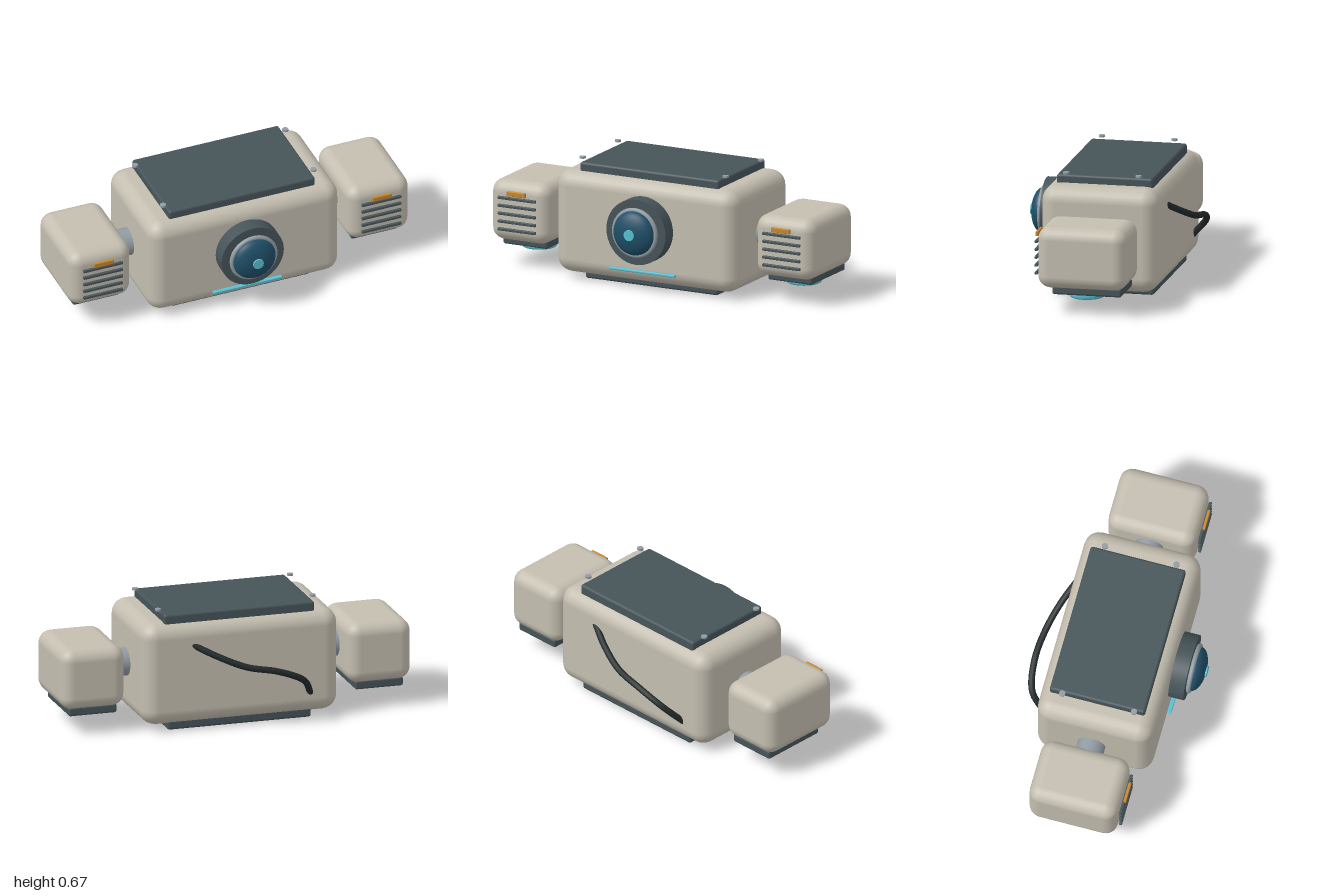
import * as THREE from 'three';
import { RoundedBoxGeometry } from 'three/addons/geometries/RoundedBoxGeometry.js';

const mat = (name, color) => {
  const m = new THREE.MeshStandardMaterial({ color });
  m.name = name;
  return m;
};

export function createModel() {
  const shell = mat('warm grey shell', 0xc4beb0);
  const dark = mat('slate trim', 0x465459);
  const metal = mat('brushed metal', 0x929ca4);
  const glass = mat('deep blue glass', 0x1f4f68);
  const cyan = mat('cyan glow', 0x58c0d2);
  const amber = mat('amber', 0xc8872c);
  const rubber = mat('black rubber', 0x232a2b);

  const model = new THREE.Group();
  model.name = 'cameraUnit';

  const add = (parent, name, geometry, material, x, y, z) => {
    const mesh = new THREE.Mesh(geometry, material);
    mesh.name = name;
    mesh.position.set(x, y, z);
    parent.add(mesh);
    return mesh;
  };
  const rbox = (w, h, d, r, s = 3) => new RoundedBoxGeometry(w, h, d, s, r);
  // cylinder whose axis lies along z
  const discZ = (r, h, n = 40) => new THREE.CylinderGeometry(r, r, h, n).rotateX(Math.PI / 2);

  // Main housing with roof and base plates
  add(model, 'body', rbox(1.12, 0.575, 0.652, 0.085), shell, 0, 0.323, -0.026);
  add(model, 'roofPlate', rbox(0.86, 0.075, 0.536, 0.014), dark, 0, 0.618, -0.034);
  add(model, 'basePlate', rbox(0.82, 0.06, 0.515, 0.014), dark, 0, 0.03, -0.047);

  // Roof bolts
  for (const x of [-0.442, 0.442])
    for (const z of [0.177, -0.227])
      add(model, 'roofBolt', new THREE.CylinderGeometry(0.017, 0.017, 0.011, 16), metal, x, 0.668, z);

  // Lens assembly
  const lens = new THREE.Group();
  lens.name = 'lens';
  lens.position.y = 0.347;
  model.add(lens);
  add(lens, 'lensBarrel', discZ(0.183, 0.105), dark, 0, 0, 0.333);
  add(lens, 'lensRing', new THREE.TorusGeometry(0.127, 0.013, 12, 48), metal, 0, 0, 0.398);
  add(lens, 'lensDome', new THREE.SphereGeometry(0.123, 40, 24).scale(1, 1, 0.46), glass, 0, 0, 0.409);
  add(lens, 'pupil', discZ(0.031, 0.01, 12), cyan, 0, 0.001, 0.467);

  // Status light below the lens
  add(model, 'statusStrip', rbox(0.405, 0.014, 0.024, 0.005, 2), cyan, 0, 0.107, 0.31);

  // Side pods, mirrored
  for (const s of [-1, 1]) {
    const pod = new THREE.Group();
    pod.name = s > 0 ? 'leftPod' : 'rightPod';
    pod.position.x = s * 0.818;
    model.add(pod);
    add(pod, 'podArm', new THREE.CylinderGeometry(0.077, 0.077, 0.16, 32).rotateZ(Math.PI / 2),
      metal, -s * 0.22, 0.327, -0.028);
    add(pod, 'podShell', rbox(0.364, 0.342, 0.497, 0.07), shell, 0, 0.316, -0.027);
    add(pod, 'podFoot', rbox(0.274, 0.05, 0.386, 0.012), dark, 0, 0.135, -0.052);

    // Glowing thruster pad with softened rim
    const pad = [[0, -0.018], [0.088, -0.018], [0.095, -0.014], [0.098, -0.006],
      [0.098, 0.012], [0.094, 0.018], [0, 0.018]].map(p => new THREE.Vector2(...p));
    add(pod, 'thrusterPad', new THREE.LatheGeometry(pad, 40), cyan, 0, 0.095, -0.025);

    // Front vents and marker light
    for (let i = 0; i < 5; i++)
      add(pod, 'ventSlot', rbox(0.232, 0.016, 0.016, 0.004, 2), dark, 0, 0.395 - i * 0.0442, 0.235);
    add(pod, 'markerLight', rbox(0.115, 0.027, 0.016, 0.004, 2), amber, 0, 0.425, 0.243);
  }

  // Rear cable
  const path = new THREE.CatmullRomCurve3([
    [0.28, 0.485, -0.335], [0.15, 0.42, -0.395], [0, 0.36, -0.44], [-0.17, 0.325, -0.456],
    [-0.325, 0.255, -0.428], [-0.395, 0.15, -0.335],
  ].map(p => new THREE.Vector3(...p)));
  add(model, 'rearCable', new THREE.TubeGeometry(path, 48, 0.018, 12), rubber, 0, 0, 0);

  return model;
}
